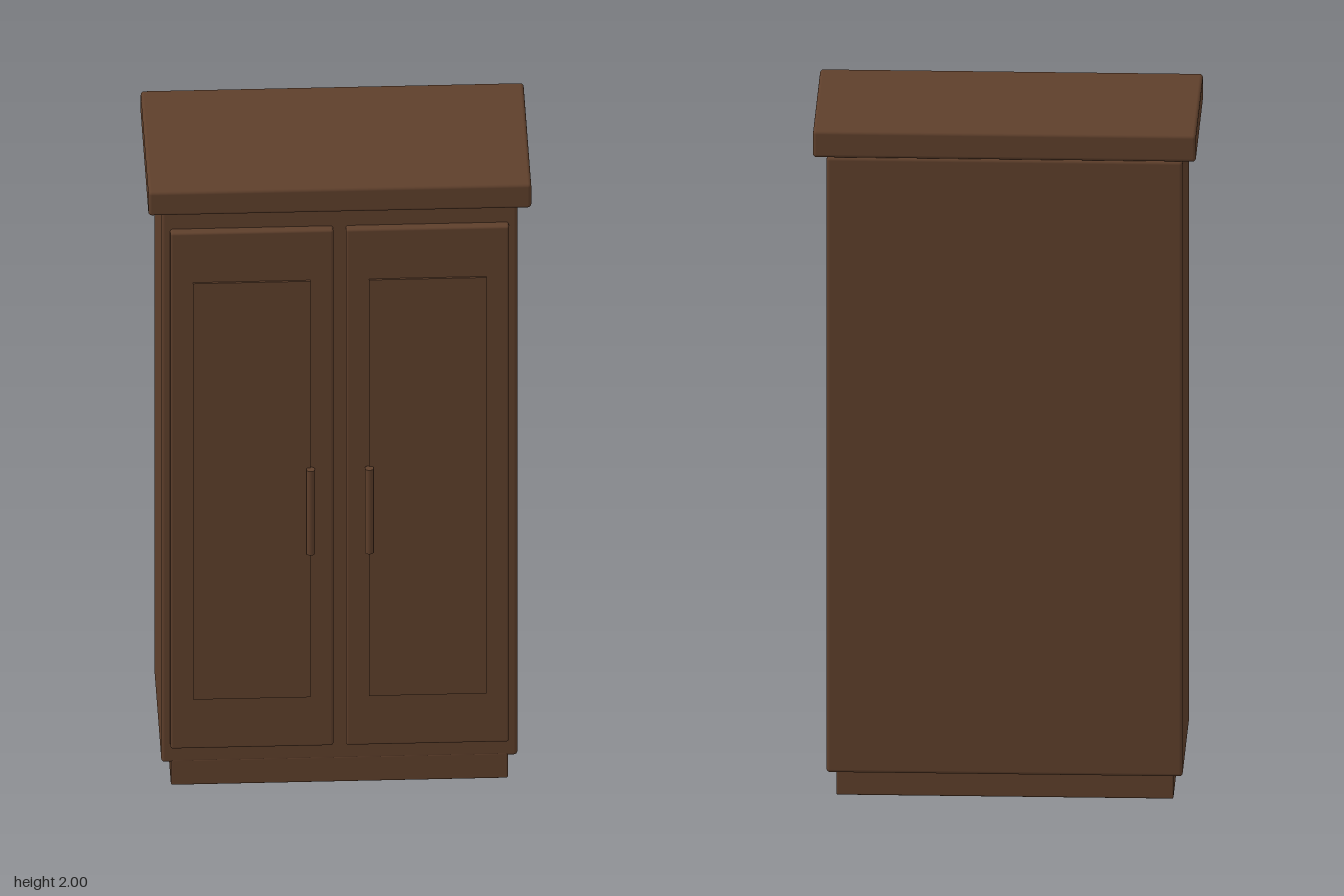
import * as THREE from 'three';
import { RoundedBoxGeometry } from 'three/addons/geometries/RoundedBoxGeometry.js';

export function createModel() {
  const model = new THREE.Group();
  model.name = 'wardrobe';
  const wood = new THREE.MeshStandardMaterial({ name: 'dark brown wood', color: 0x5e3f2b });

  // Box given by its extents, with softened edges when radius > 0
  function block(name, [x0, x1], [y0, y1], [z0, z1], radius, parent = model) {
    const size = [x1 - x0, y1 - y0, z1 - z0];
    const geometry = radius > 0
      ? new RoundedBoxGeometry(...size, 3, radius)
      : new THREE.BoxGeometry(...size);
    const mesh = new THREE.Mesh(geometry, wood);
    mesh.name = name;
    mesh.position.set((x0 + x1) / 2, (y0 + y1) / 2, (z0 + z1) / 2);
    parent.add(mesh);
  }

  // Carcass
  block('plinth', [-0.478, 0.478], [0, 0.085], [-0.243, 0.233], 0.005);
  block('cabinetBody', [-0.505, 0.505], [0.075, 1.917], [-0.27, 0.233], 0.01);
  block('topBoard', [-0.543, 0.543], [1.92, 2], [-0.284, 0.268], 0.01);

  // Mirrored doors, each with a raised panel and a bar handle
  for (const side of [-1, 1]) {
    const door = new THREE.Group();
    door.name = side > 0 ? 'leftDoor' : 'rightDoor';
    const span = (a, b) => (side > 0 ? [a, b] : [-b, -a]);
    block('doorLeaf', span(0.018, 0.48), [0.135, 1.855], [0.21, 0.257], 0.007, door);
    block('doorPanel', span(0.083, 0.416), [0.303, 1.69], [0.245, 0.263], 0, door);

    const handle = new THREE.Mesh(new THREE.CylinderGeometry(0.0125, 0.0125, 0.28, 24), wood);
    handle.name = 'handle';
    handle.position.set(side * 0.083, 0.928, 0.2715);
    door.add(handle);
    model.add(door);
  }
  return model;
}
